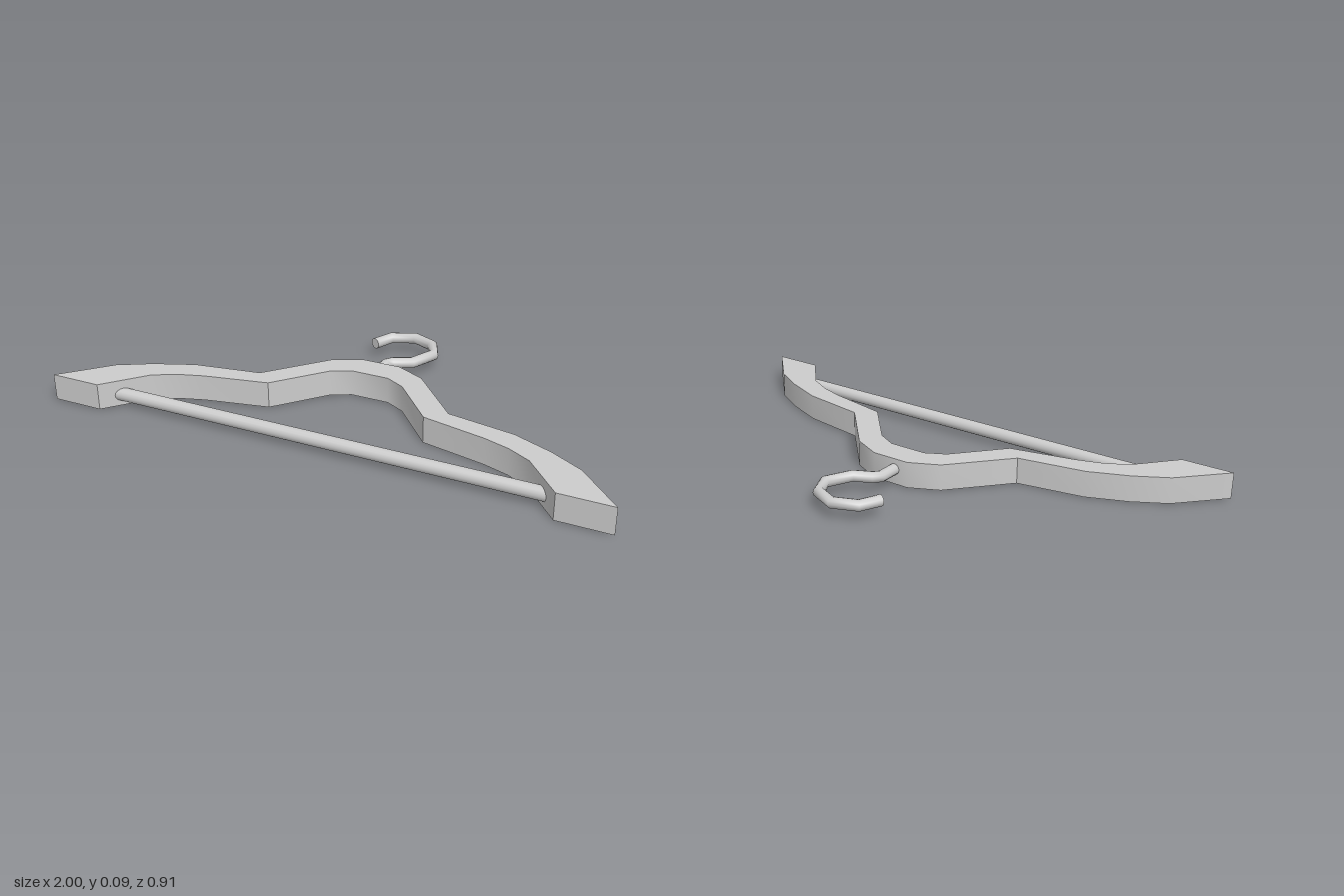
import * as THREE from 'three';
import { toCreasedNormals } from 'three/addons/utils/BufferGeometryUtils.js';

// Curve running straight from point to point, one segment per step
class Polyline extends THREE.Curve {
  constructor(points) {
    super();
    this.points = points;
  }
  getPoint(t, target = new THREE.Vector3()) {
    const n = this.points.length - 1;
    const i = Math.min(Math.floor(t * n), n - 1);
    return target.lerpVectors(this.points[i], this.points[i + 1], t * n - i);
  }
  getPointAt(u, target) { return this.getPoint(u, target); }
  getTangentAt(u, target) { return this.getTangent(u, target); }
}

export function createModel() {
  const group = new THREE.Group();
  const material = new THREE.MeshStandardMaterial({ color: 0xcccccc });
  const add = (name, geometry) => {
    const mesh = new THREE.Mesh(geometry, material);
    mesh.name = name;
    group.add(mesh);
    return mesh;
  };

  // Shoulder body: half outline (x, z) mirrored across x = 0, then extruded upward
  const half = [
    [0.07, -0.112], [0.175, -0.062], [0.355, 0.138], [0.595, 0.178],
    [0.735, 0.235], [0.85, 0.3], [1, 0.457],
    [0.815, 0.457], [0.69, 0.315], [0.61, 0.272], [0.52, 0.243],
    [0.29, 0.195], [0.14, 0.025], [0.07, -0.012],
  ];
  const mirrored = half.map(([x, z]) => [-x, z]).reverse();
  const outline = [...half, ...mirrored].map(([x, z]) => new THREE.Vector2(x, -z));
  const body = new THREE.ExtrudeGeometry(new THREE.Shape(outline), { depth: 0.095, bevelEnabled: false });
  body.rotateX(-Math.PI / 2);
  add('shoulderBody', toCreasedNormals(body, 0.6));

  // Trouser bar between the two arm ends
  const bar = add('trouserBar', new THREE.CylinderGeometry(0.024, 0.024, 1.6, 16));
  bar.rotation.z = Math.PI / 2;
  bar.position.set(0, 0.04, 0.39);

  // Hook: angular bent wire with closed ends
  const hookY = 0.056, hookRadius = 0.02;
  const path = [
    [-0.016, -0.09], [-0.015, -0.185], [0.003, -0.207], [0.067, -0.238], [0.112, -0.33],
    [0.078, -0.403], [-0.005, -0.438], [-0.09, -0.403], [-0.125, -0.33],
  ].map(([x, z]) => new THREE.Vector3(x, hookY, z));
  add('hook', new THREE.TubeGeometry(new Polyline(path), path.length - 1, hookRadius, 12));

  const tip = path[path.length - 1];
  const direction = tip.clone().sub(path[path.length - 2]).normalize();
  const cap = add('hookTip', new THREE.CircleGeometry(hookRadius, 12));
  cap.position.copy(tip);
  cap.quaternion.setFromUnitVectors(new THREE.Vector3(0, 0, 1), direction);

  return group;
}
